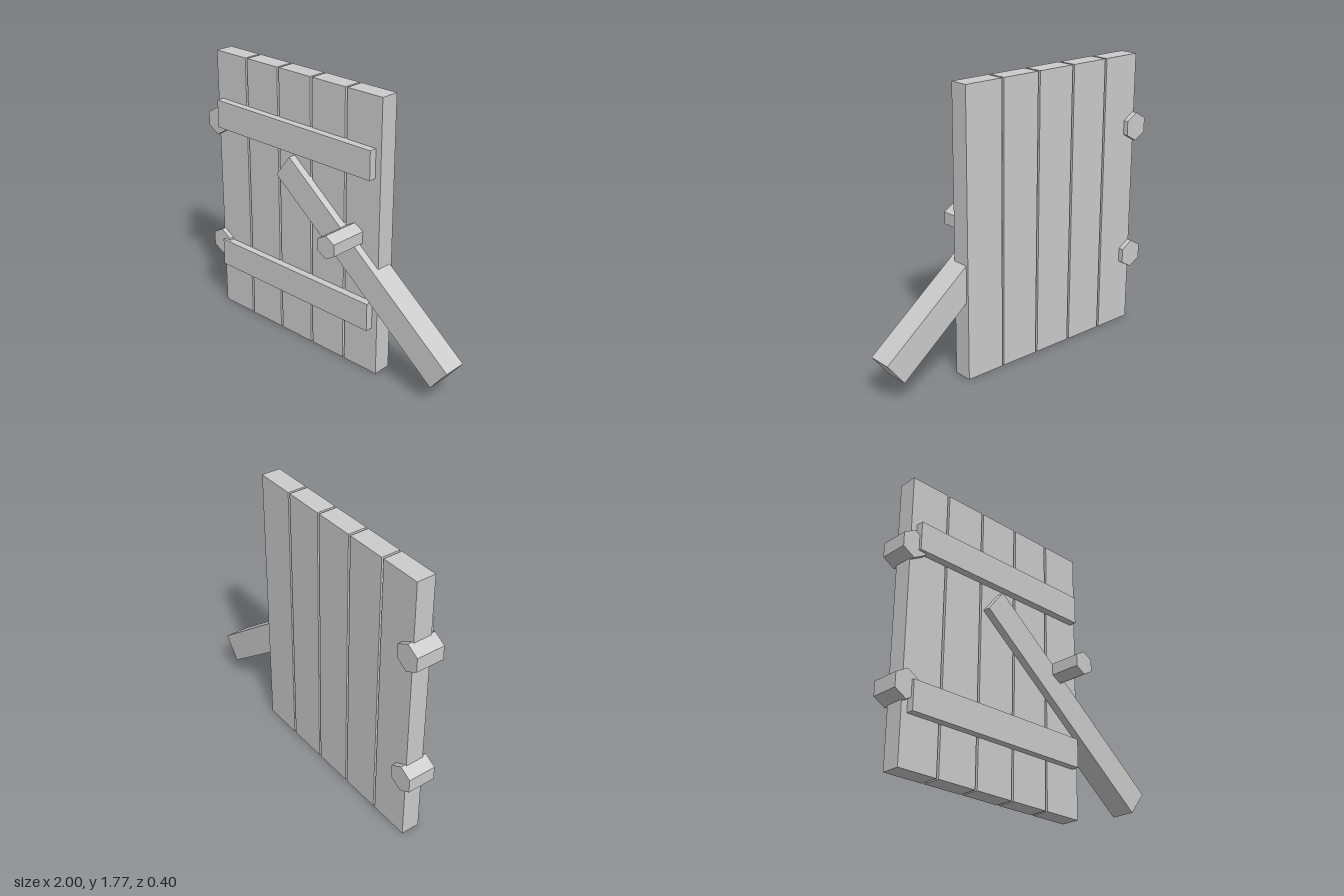
import * as THREE from 'three';

const material = new THREE.MeshStandardMaterial({ color: 0xcccccc, flatShading: true });

function add(group, name, geometry, x, y, z) {
  const mesh = new THREE.Mesh(geometry, material);
  mesh.name = name;
  mesh.position.set(x, y, z);
  group.add(mesh);
  return mesh;
}

// Six-sided peg along z, with a corner pointing up
function peg(group, name, radius, x, y, zBack, zFront) {
  const length = zFront - zBack;
  const geometry = new THREE.CylinderGeometry(radius, radius, length, 6).rotateX(Math.PI / 2);
  add(group, name, geometry, x, y, (zBack + zFront) / 2);
}

export function createModel() {
  const door = new THREE.Group();
  door.name = 'plankDoor';

  // Five upright planks with narrow gaps
  for (let i = 0; i < 5; i++) {
    add(door, `plank${i + 1}`, new THREE.BoxGeometry(0.26, 1.775, 0.12), -0.8 + i * 0.275, 0.8875, -0.108);
  }

  // Cross rails set into the planks, each with a hinge peg at its end
  [['lower', 0.4, 0.46], ['upper', 1.378, 1.317]].forEach(([level, railY, pegY]) => {
    add(door, `${level}Rail`, new THREE.BoxGeometry(1.28, 0.182, 0.153), -0.25, railY, -0.0765);
    peg(door, `${level}HingePeg`, 0.09, -0.922, pegY, -0.2, -0.018);
  });

  // Slanting latch bar reaching past the door edge
  const bar = add(door, 'latchBar', new THREE.BoxGeometry(1.588, 0.181, 0.153), 0.317, 0.695, -0.0765);
  bar.rotation.z = Math.atan2(-0.98, 1.25);

  // Handle peg above the bar
  peg(door, 'handlePeg', 0.075, 0.24, 0.89, -0.1, 0.2);

  return door;
}
